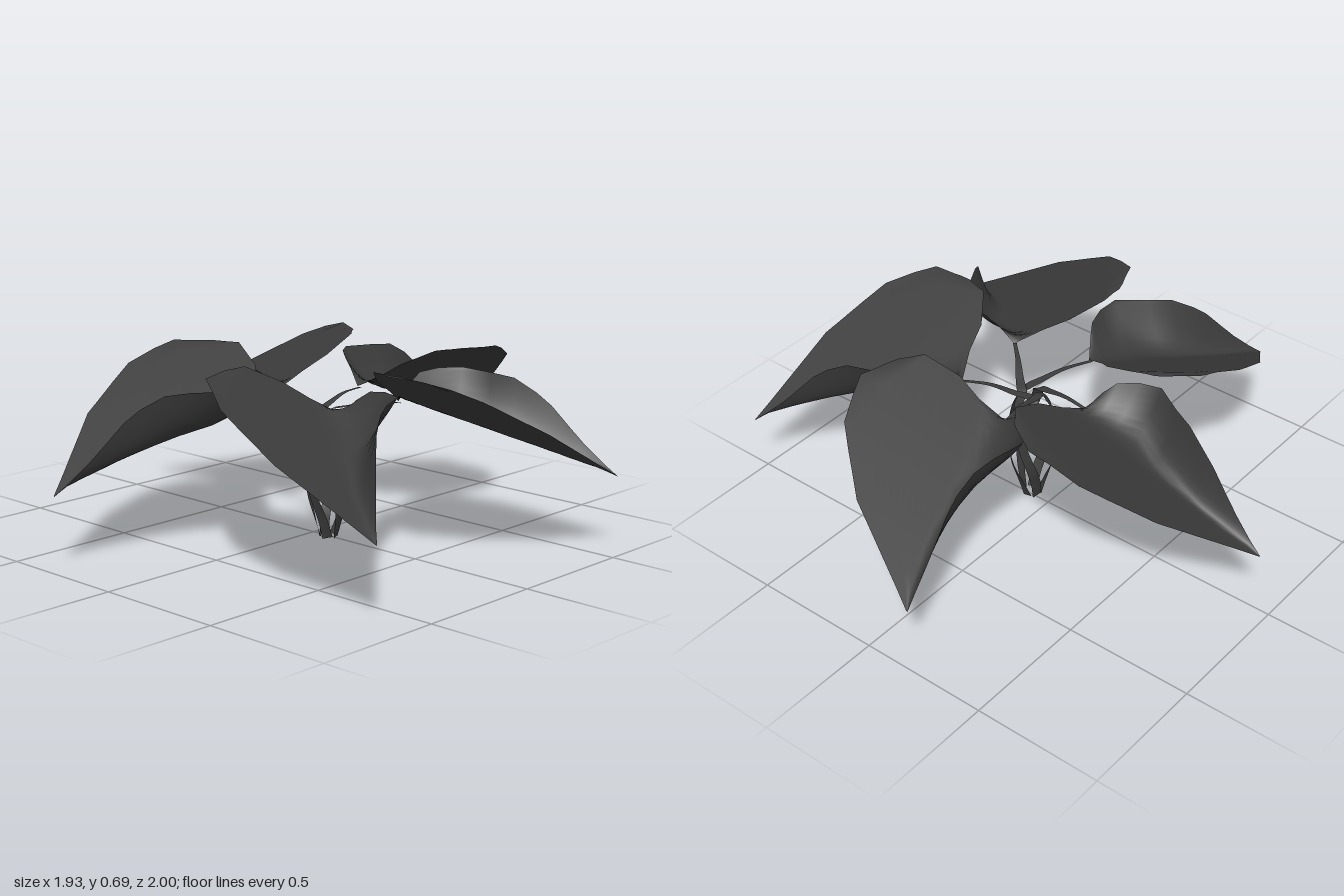
import * as THREE from 'three';

const material = new THREE.MeshStandardMaterial({ color: 0x3c3c3c, side: THREE.DoubleSide });

// Smooth sheet from a grid of points: point(i, j) for rows x cols
function sheet(rows, cols, point) {
  const pos = [], idx = [];
  for (let i = 0; i <= rows; i++) {
    for (let j = 0; j <= cols; j++) {
      pos.push(...point(i, j));
      if (i < rows && j < cols) {
        const a = i * (cols + 1) + j, b = a + cols + 1;
        idx.push(a, a + 1, b, b, a + 1, b + 1);
      }
    }
  }
  const g = new THREE.BufferGeometry();
  g.setAttribute('position', new THREE.Float32BufferAttribute(pos, 3));
  g.setIndex(idx);
  g.computeVertexNormals();
  return g;
}

// Leaf stations: distance out, curled edge, far edge, height of the curled edge
const stations = [
  [0.197, 0.20, 0.335, 0.62], [0.235, 0.11, 0.38, 0.57], [0.255, 0.0, 0.41, 0.51],
  [0.29, -0.045, 0.435, 0.575], [0.325, -0.085, 0.455, 0.61], [0.39, -0.125, 0.497, 0.62],
  [0.475, -0.15, 0.487, 0.62], [0.585, -0.085, 0.473, 0.615], [0.67, -0.048, 0.42, 0.605],
  [0.75, -0.018, 0.367, 0.56], [0.807, -0.004, 0.33, 0.515], [0.87, 0.01, 0.256, 0.445],
  [0.93, 0.022, 0.186, 0.38], [1.0, 0.036, 0.104, 0.315], [1.05, 0.043, 0.048, 0.27],
];

// Tilted blade: a flat panel on one side, a steep curl along the other edge
function leafGeometry() {
  const cols = 22, crease = 0.07;
  const plane = (u, v) => 0.602 - 0.332 * u + 0.457 * v;
  return sheet(stations.length - 1, cols, (i, j) => {
    const [u, lo, hi, edge] = stations[i];
    const v = lo + (hi - lo) * Math.pow(j / cols, 1.4);
    const s = THREE.MathUtils.clamp((crease - v) / Math.abs(crease - lo), 0, 1);
    const rise = Math.max(0, edge - plane(u, lo));
    return [u, Math.min(0.69, plane(u, v) + rise * s * s), v];
  });
}

// Flat ribbon that spirals up the bulging cage, then arches out and tapers to the leaf
function stemGeometry() {
  const cage = [[0.03, 0], [0.05, 0.07], [0.078, 0.16], [0.088, 0.25], [0.083, 0.35], [0.063, 0.43], [0.038, 0.47]];
  const path = cage.map(([r, y], i) => {
    const a = THREE.MathUtils.degToRad(-200 + 110 * i / (cage.length - 1));
    return new THREE.Vector3(r * Math.cos(a), y, r * Math.sin(a));
  });
  path.push(new THREE.Vector3(0.065, 0.488, -0.028), new THREE.Vector3(0.15, 0.51, -0.012),
    new THREE.Vector3(0.265, 0.512, 0.005));
  const curve = new THREE.CatmullRomCurve3(path);
  const n = 60;
  return sheet(n, 2, (i, j) => {
    const p = curve.getPoint(i / n), t = curve.getTangent(i / n);
    const k = THREE.MathUtils.smoothstep(p.y, 0.38, 0.48);
    const normal = new THREE.Vector3(p.x, 0, p.z).normalize().multiplyScalar(1 - k);
    normal.y += k;
    const half = THREE.MathUtils.lerp(0.019, 0.007, THREE.MathUtils.smoothstep(i / n, 0.65, 1));
    return p.add(t.cross(normal).normalize().multiplyScalar((1 - j) * half)).toArray();
  });
}

export function createModel() {
  const model = new THREE.Group();
  model.name = 'plant';
  const leafGeo = leafGeometry(), stemGeo = stemGeometry();

  // Five identical leaves and stems around the axis
  for (let k = 0; k < 5; k++) {
    const branch = new THREE.Group();
    branch.name = 'branch';
    const leaf = new THREE.Mesh(leafGeo, material);
    leaf.name = 'leaf';
    const stem = new THREE.Mesh(stemGeo, material);
    stem.name = 'stem';
    branch.add(leaf, stem);
    branch.rotation.y = -THREE.MathUtils.degToRad(180 + 72 * k);
    branch.position.set(0.085, 0, 0.01);
    model.add(branch);
  }
  return model;
}
